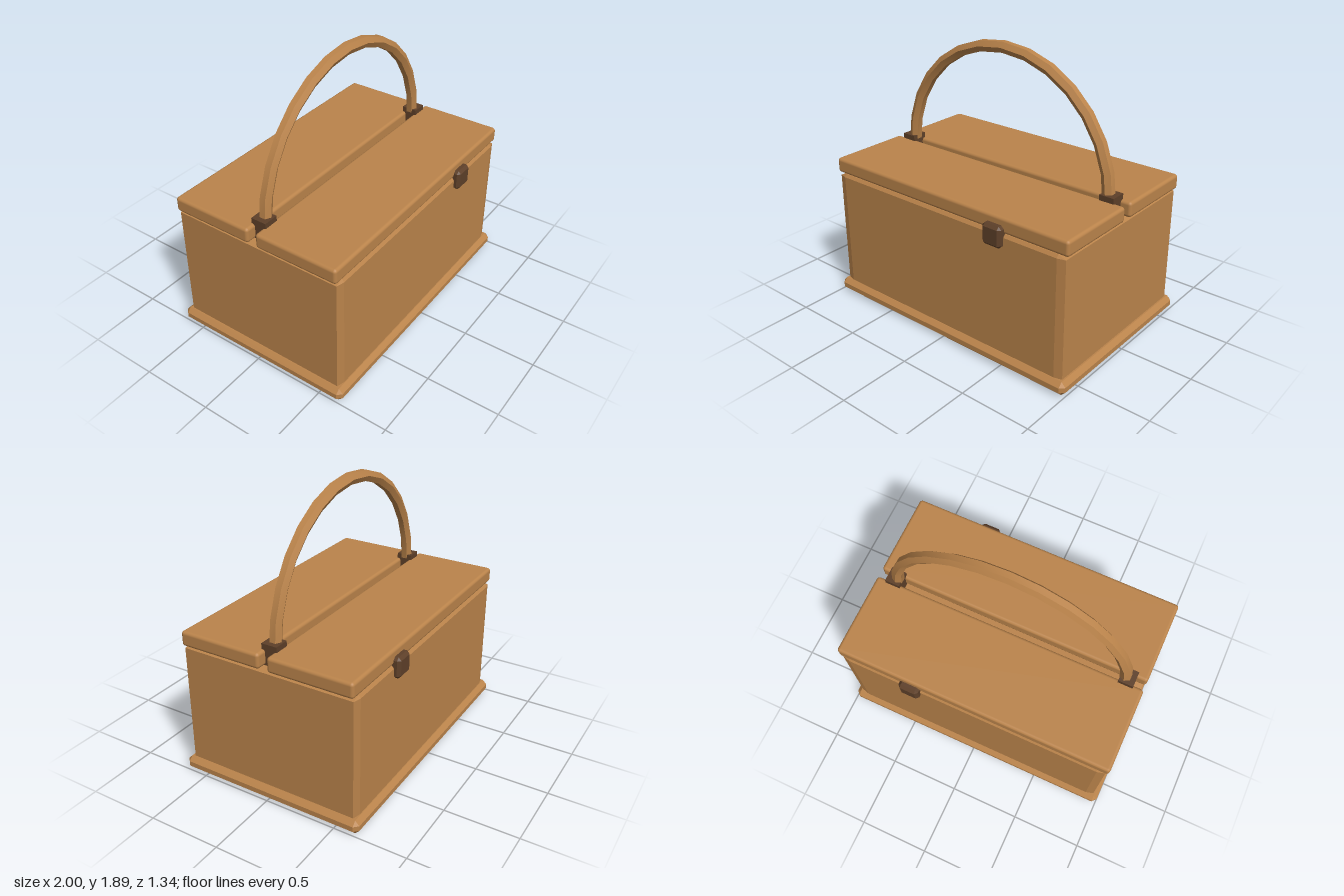
import * as THREE from 'three';
import { toCreasedNormals } from 'three/addons/utils/BufferGeometryUtils.js';
import { RoundedBoxGeometry } from 'three/addons/geometries/RoundedBoxGeometry.js';
import { ConvexGeometry } from 'three/addons/geometries/ConvexGeometry.js';

const wood = new THREE.MeshStandardMaterial({ name: 'wicker tan', color: 0xbb844b });
const leather = new THREE.MeshStandardMaterial({ name: 'dark leather', color: 0x5e4029 });

// Box with flat bevels; cx, cy, cz are the bevel widths along each axis
function bevelBox(w, h, d, cx, cy, cz) {
  const pts = [];
  for (const sx of [-1, 1]) for (const sy of [-1, 1]) for (const sz of [-1, 1]) {
    const x = w / 2, y = h / 2, z = d / 2;
    pts.push(
      new THREE.Vector3(sx * x, sy * (y - cy), sz * (z - cz)),
      new THREE.Vector3(sx * (x - cx), sy * y, sz * (z - cz)),
      new THREE.Vector3(sx * (x - cx), sy * (y - cy), sz * z)
    );
  }
  return new ConvexGeometry(pts);
}

export function createModel() {
  const basket = new THREE.Group();
  basket.name = 'picnicBasket';

  const add = (name, geometry, material, x = 0, y = 0, z = 0) => {
    const mesh = new THREE.Mesh(geometry, material);
    mesh.name = name;
    mesh.position.set(x, y, z);
    basket.add(mesh);
  };

  // Base rim and box body
  add('baseRim', bevelBox(2, 0.095, 1.33, 0.03, 0.03, 0.03), wood, 0, 0.0475, 0);
  add('body', bevelBox(1.92, 0.88, 1.26, 0.055, 0.02, 0.015), wood, 0, 0.49, 0);

  // Front and back lids, each with its clasp
  for (const [side, s] of [['front', 1], ['back', -1]]) {
    add(side + 'Lid', new RoundedBoxGeometry(1.96, 0.105, 0.595, 2, 0.022), wood, 0, 0.983, s * 0.327);
    add(side + 'Clasp', bevelBox(0.145, 0.145, 0.09, 0.02, 0.02, 0.02), leather, 0.442, 0.912, s * 0.623);
  }

  // Handle sockets
  for (const [side, s] of [['left', 1], ['right', -1]]) {
    add(side + 'HandleSocket', new THREE.BoxGeometry(0.105, 0.145, 0.11), leather, s * 0.853, 1.0, 0);
  }

  // Arched handle: hexagonal section swept through a half circle
  const section = [];
  for (let i = 0; i <= 6; i++) {
    const a = Math.PI / 6 + (i * Math.PI) / 3 - Math.PI / 3;
    section.push(new THREE.Vector2(0.84 + 0.042 * Math.cos(a), 0.042 * Math.sin(a)));
  }
  const arch = new THREE.LatheGeometry(section, 14, -Math.PI / 2, Math.PI);
  arch.rotateX(-Math.PI / 2);
  add('handle', toCreasedNormals(arch, Math.PI / 4), wood, 0, 1.015, 0);

  return basket;
}
